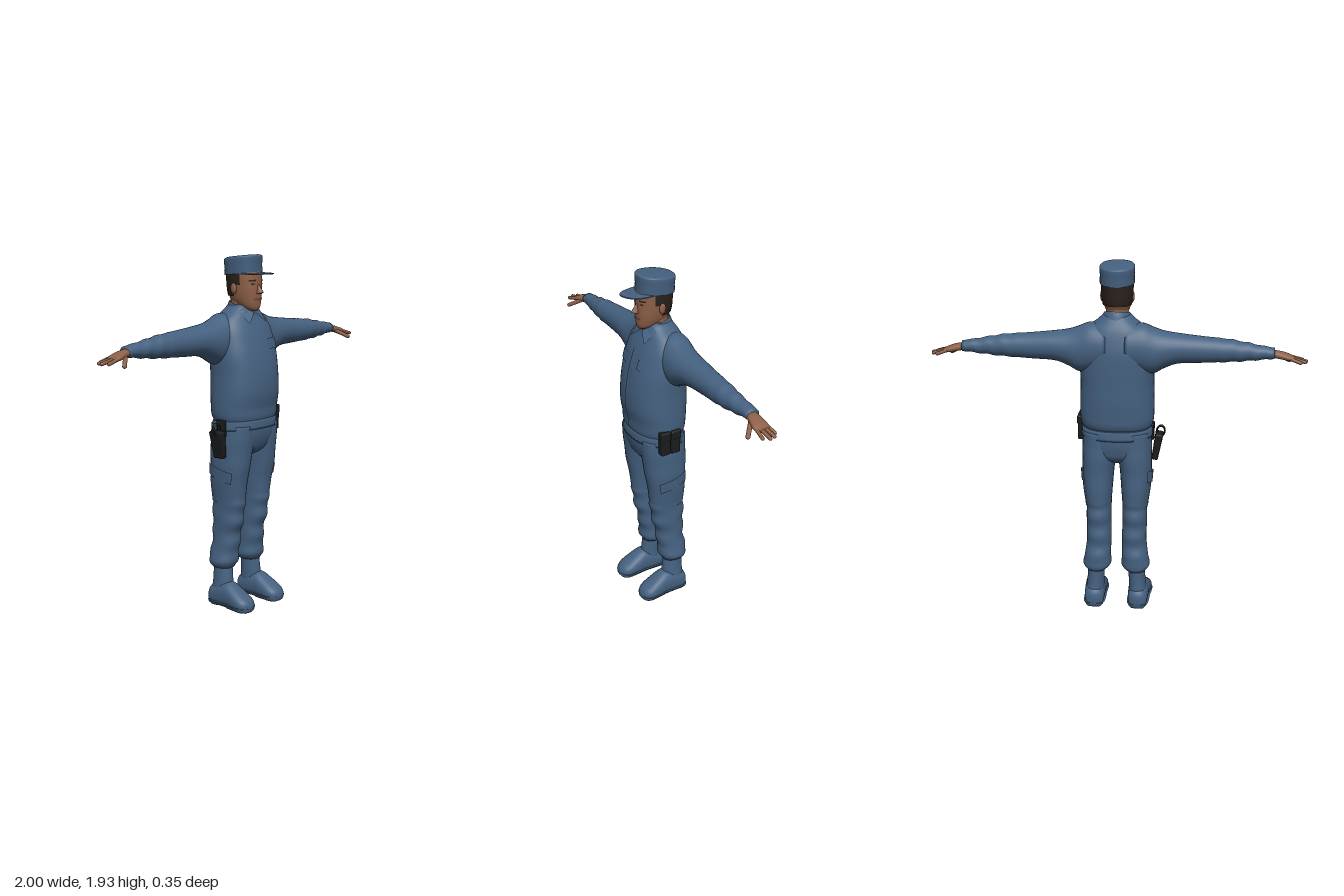
import * as THREE from 'three';
import { RoundedBoxGeometry } from 'three/addons/geometries/RoundedBoxGeometry.js';

const PI = Math.PI;

// Smooth interpolation of ring rows [key, c1, c2, r1, r2] at a given key
function ringAt(rows, k) {
  let i = 0;
  while (i < rows.length - 2 && k > rows[i + 1][0]) i++;
  const a = rows[i], b = rows[i + 1], p = rows[i - 1] || a, q = rows[i + 2] || b;
  const h = b[0] - a[0], t = (k - a[0]) / h, t2 = t * t, t3 = t2 * t;
  return a.map((v, j) => {
    const ma = (b[j] - p[j]) / (b[0] - p[0]) * h, mb = (q[j] - v) / (q[0] - a[0]) * h;
    return (2 * t3 - 3 * t2 + 1) * v + (t3 - 2 * t2 + t) * ma + (3 * t2 - 2 * t3) * b[j] + (t3 - t2) * mb;
  });
}

// Loft of superellipse rings along an axis; a partial angle or key range gives a surface patch
function loft(rows, o = {}) {
  const { axis = 'y', n = 32, m = 36, e = 2, t0 = 0, t1 = 2 * PI, grow = 0, warp } = o;
  const k0 = o.k0 ?? rows[0][0], k1 = o.k1 ?? rows[rows.length - 1][0];
  const closed = t1 - t0 > 6.28, caps = o.caps ?? closed, cols = closed ? n : n + 1;
  const pos = [], idx = [];
  const place = (k, u, v) => {
    const p = axis === 'y' ? [u, k, v] : axis === 'x' ? [k, u, v] : [u, v, k];
    if (warp) warp(p);
    pos.push(...p);
  };
  const s = axis === 'y' ? 1 : -1;
  const pw = v => Math.sign(v) * Math.abs(v) ** (2 / e);
  for (let i = 0; i <= m; i++) {
    const k = k0 + (k1 - k0) * i / m, [, c1, c2, r1, r2] = ringAt(rows, k);
    for (let j = 0; j < cols; j++) {
      const t = t0 + (t1 - t0) * j / n;
      place(k, c1 + (r1 + grow) * pw(Math.cos(t)), c2 + s * (r2 + grow) * pw(Math.sin(t)));
    }
  }
  for (let i = 0; i < m; i++) for (let j = 0; j < n; j++) {
    const a = i * cols + j, d = i * cols + (j + 1) % cols, b = a + cols, c = d + cols;
    idx.push(a, b, d, d, b, c);
  }
  if (caps) for (const end of [0, 1]) {
    const r = ringAt(rows, end ? k1 : k0), ci = pos.length / 3, base = end * m * cols;
    place(end ? k1 : k0, r[1], r[2]);
    for (let j = 0; j < n; j++) {
      const a = base + j, b = base + (j + 1) % cols;
      end ? idx.push(ci, b, a) : idx.push(ci, a, b);
    }
  }
  const g = new THREE.BufferGeometry();
  g.setAttribute('position', new THREE.Float32BufferAttribute(pos, 3));
  g.setIndex(idx);
  g.computeVertexNormals();
  return g;
}

// Mirror image across x = 0 with the winding kept outward
function mirrored(g) {
  const r = g.clone().scale(-1, 1, 1);
  const ix = r.index ? Array.from(r.index.array) : Array.from({ length: r.attributes.position.count }, (_, i) => i);
  for (let i = 0; i < ix.length; i += 3) [ix[i], ix[i + 1]] = [ix[i + 1], ix[i]];
  r.setIndex(ix);
  return r;
}

// Rounded finger between two points
function finger(a, b, r) {
  const A = new THREE.Vector3(...a), B = new THREE.Vector3(...b), d = B.clone().sub(A);
  const g = new THREE.CapsuleGeometry(r, d.length() - 2 * r, 4, 10);
  g.applyQuaternion(new THREE.Quaternion().setFromUnitVectors(new THREE.Vector3(0, 1, 0), d.clone().normalize()));
  const c = A.add(B).multiplyScalar(0.5);
  return g.translate(c.x, c.y, c.z);
}

const TORSO = [[1.045, 0, -.014, .183, .132], [1.075, 0, -.016, .195, .145], [1.12, 0, -.017, .2, .148],
  [1.2, 0, -.013, .2, .158], [1.3, 0, -.015, .197, .158], [1.4, 0, -.024, .2, .151], [1.48, 0, -.034, .195, .139],
  [1.55, 0, -.04, .182, .12], [1.6, 0, -.045, .152, .1], [1.64, 0, -.04, .1, .083], [1.67, 0, -.035, .068, .068]];
const PELVIS = [[.845, 0, -.03, .05, .04], [.88, 0, -.025, .14, .1], [.93, 0, -.02, .183, .126],
  [1, 0, -.015, .188, .138], [1.07, 0, -.014, .186, .134]];
const ARM = [[.05, 1.5, -.07, .12, .1], [.14, 1.495, -.066, .132, .1], [.2, 1.482, -.062, .122, .096],
  [.25, 1.487, -.06, .1, .09], [.32, 1.495, -.06, .081, .08], [.45, 1.492, -.06, .07, .066], [.6, 1.489, -.058, .059, .058],
  [.7, 1.485, -.06, .046, .046], [.78, 1.483, -.064, .034, .039], [.825, 1.482, -.065, .029, .036]];
const LEG = [[.222, .11, -.076, .055, .064], [.25, .108, -.078, .078, .078], [.3, .105, -.069, .073, .08],
  [.4, .098, -.06, .068, .08], [.5, .1, -.047, .068, .093], [.6, .1, -.04, .069, .1], [.7, .103, -.037, .079, .108],
  [.8, .103, -.027, .087, .117], [.88, .098, -.024, .092, .124], [.95, .096, -.018, .094, .127], [1.03, .095, -.015, .09, .13]];
const SHAFT = [[.05, .124, -.075, .054, .068], [.14, .118, -.07, .048, .062], [.26, .112, -.075, .044, .055]];
const FOOT = [[-.15, .122, .05, .02, .03], [-.135, .122, .053, .048, .053], [-.07, .123, .065, .057, .068],
  [-.01, .124, .07, .058, .074], [.05, .126, .055, .062, .06], [.1, .127, .04, .06, .045],
  [.13, .127, .033, .043, .032], [.143, .127, .03, .018, .014]];
const HEAD = [[1.638, 0, .045, .022, .026], [1.655, 0, .025, .045, .055], [1.69, 0, -.002, .064, .086],
  [1.73, 0, -.01, .074, .095], [1.78, 0, -.013, .079, .097], [1.84, 0, -.015, .08, .097], [1.88, 0, -.015, .07, .085]];
const NECK = [[1.58, 0, -.035, .062, .062], [1.65, 0, -.03, .06, .062], [1.72, 0, -.03, .06, .066]];
const CAP = [[1.832, 0, -.022, .088, .1], [1.87, 0, -.023, .09, .102], [1.91, 0, -.024, .092, .105],
  [1.92, 0, -.024, .089, .102], [1.925, 0, -.024, .075, .087]];
const HAND = [[.8, 1.48, -.062, .018, .026], [.85, 1.473, -.058, .02, .035], [.9, 1.461, -.054, .017, .042], [.93, 1.453, -.054, .01, .038]];

export function createModel() {
  const model = new THREE.Group();
  model.name = 'officer';
  const mat = (name, color, side = THREE.FrontSide) => Object.assign(new THREE.MeshStandardMaterial({ color, side }), { name });
  const cloth = mat('uniformBlue', 0x456180, THREE.DoubleSide);
  const skin = mat('skin', 0x8e6047), lip = mat('lips', 0x70433a);
  const hair = mat('hair', 0x2a211c, THREE.DoubleSide), black = mat('gearBlack', 0x1b1c1e);

  const add = (name, g, m, parent = model) => {
    const mesh = new THREE.Mesh(g, m);
    mesh.name = name;
    parent.add(mesh);
    return mesh;
  };
  const pair = (name, g, m) => {
    add(name + 'Left', g, m);
    add(name + 'Right', mirrored(g), m);
  };

  // Shirt with placket and pocket flaps
  add('shirt', loft(TORSO, { n: 48, e: 2.3 }), cloth);
  add('placket', loft(TORSO, { e: 2.3, k0: 1.08, k1: 1.6, t0: PI / 2 - .05, t1: PI / 2 + .05, n: 4, grow: .004 }), cloth);
  pair('chestPocketFlap', loft(TORSO, { e: 2.3, k0: 1.435, k1: 1.49, t0: .75, t1: 1.36, n: 12, m: 6, grow: .005 }), cloth);
  pair('sleeve', loft(ARM, { axis: 'x', m: 48,
    warp: p => { if (p[0] > .5) p[1] += .003 * Math.sin(p[0] * 75) * Math.sin((p[0] - .5) * 9); } }), cloth);

  // Collar sloping down to the front, with two points
  const COLLAR = [[1.61, 0, -.035, .086, .088], [1.65, 0, -.032, .078, .08], [1.675, 0, -.03, .068, .072]];
  add('collar', loft(COLLAR, { m: 8, caps: false, warp: p => { p[1] -= .22 * (p[2] + .03); } }), cloth);
  const point = new THREE.BufferGeometry();
  point.setAttribute('position', new THREE.Float32BufferAttribute(
    [.006, 1.628, .058, .068, 1.575, .084, .088, 1.635, .018, .055, 1.658, .026], 3));
  point.setIndex([0, 1, 2, 0, 2, 3]);
  point.computeVertexNormals();
  pair('collarPoint', point, cloth);

  // Trousers, belt and cargo pockets
  add('trouserSeat', loft(PELVIS, { n: 48, e: 2.3 }), cloth);
  add('belt', loft(PELVIS, { n: 48, m: 4, e: 2.3, k0: 1.005, k1: 1.055, grow: .006, warp: p => { p[1] += .06 * p[2]; } }), cloth);
  pair('trouserLeg', loft(LEG, { e: 2.2, m: 60,
    warp: p => { if (p[1] < .6 && p[1] > .24) p[2] += .005 * Math.sin(p[1] * 55); } }), cloth);
  pair('cargoPocket', loft(LEG, { e: 2.2, k0: .6, k1: .74, t0: -.75, t1: .6, n: 14, m: 10, grow: .004 }), cloth);
  pair('cargoFlap', loft(LEG, { e: 2.2, k0: .735, k1: .8, t0: -.78, t1: .65, n: 14, m: 6, grow: .009,
    warp: p => { p[1] -= .25 * (p[2] + .04); } }), cloth);

  // Boots with flat soles
  pair('bootShaft', loft(SHAFT, { m: 10 }), cloth);
  pair('bootFoot', loft(FOOT, { axis: 'z', e: 2.3, m: 40, warp: p => { p[1] = Math.max(p[1], .006); } }), cloth);
  pair('bootSole', loft(FOOT, { axis: 'z', e: 2.6, m: 40, grow: .005,
    warp: p => { p[1] = Math.min(Math.max(p[1], p[2] > -.07 && p[2] < -.01 ? .008 : 0), .028); } }), cloth);

  // Hands
  pair('palm', loft(HAND, { axis: 'x', n: 20, m: 14, e: 2.3 }), skin);
  [[-.086, .968, -.097], [-.066, .993, -.077], [-.044, 1, -.048], [-.024, .982, -.016]].forEach(([z, x, tz], i) =>
    pair('finger' + (i + 1), finger([.905, 1.459, z], [x, 1.438, tz], .0095), skin));
  pair('thumb', finger([.845, 1.468, -.04], [.915, 1.422, .026], .0115), skin);

  // Head, with features laid on the face
  add('neck', loft(NECK, { m: 8 }), skin);
  add('head', loft(HEAD, { e: 2.15 }), skin);
  const face = (o) => loft(HEAD, { e: 2.15, n: 10, m: 6, ...o });
  const nose = new THREE.ConeGeometry(.017, .06, 12).scale(1, 1, 1.5).rotateX(-.22).translate(0, 1.76, .085);
  add('nose', nose, skin);
  add('noseTip', new THREE.SphereGeometry(.013, 12, 8).scale(1.15, .8, 1.1).translate(0, 1.738, .097), skin);
  pair('ear', new THREE.SphereGeometry(.03, 14, 10).scale(.35, 1, .6).translate(.08, 1.757, -.02), skin);
  pair('eyebrow', face({ k0: 1.795, k1: 1.803, t0: .85, t1: 1.32, grow: .003 }), hair);
  pair('eye', face({ k0: 1.777, k1: 1.784, t0: .98, t1: 1.26, grow: .002 }), black);
  add('mouth', face({ k0: 1.694, k1: 1.706, t0: 1.15, t1: PI - 1.15, grow: .003 }), lip);
  add('hair', face({ k0: 1.715, k1: 1.85, t0: PI + .1, t1: 2 * PI - .1, n: 28, m: 14, grow: .006 }), hair);
  pair('sideburn', face({ k0: 1.775, k1: 1.85, t0: -.12, t1: .32, grow: .004 }), hair);

  // Cap with band and curved brim
  const tilt = p => { p[1] += .11 * (p[2] + .02); };
  add('cap', loft(CAP, { n: 40, m: 24, e: 2.2, warp: tilt }), cloth);
  add('capBand', loft(CAP, { n: 40, m: 4, e: 2.2, k0: 1.832, k1: 1.858, grow: .003, caps: false, warp: tilt }), cloth);
  const outline = new THREE.Shape();
  outline.moveTo(-.082, .02);
  outline.bezierCurveTo(-.08, .2267, .08, .2267, .082, .02);
  const brim = new THREE.ExtrudeGeometry(outline, { depth: .006, bevelEnabled: false, curveSegments: 24 }).rotateX(PI / 2);
  const bp = brim.attributes.position;
  for (let i = 0; i < bp.count; i++) {
    const x = bp.getX(i), z = bp.getZ(i);
    bp.setY(i, bp.getY(i) + 1.853 - 2.6 * x * x - .1 * (z - .05));
  }
  brim.computeVertexNormals();
  add('capBrim', brim, cloth);

  // Twin pouch on the left hip
  for (const z of [.03, -.031]) {
    add('pouch', new RoundedBoxGeometry(.04, .13, .056, 2, .008).translate(.192, 1.035, z), black);
    add('pouchFlap', new RoundedBoxGeometry(.046, .05, .059, 2, .008).translate(.193, 1.082, z), black);
  }

  // Tapered holster with an open loop on the right hip
  const holster = new THREE.Group();
  holster.name = 'holster';
  holster.position.set(-.217, .935, -.01);
  holster.rotation.z = .17;
  model.add(holster);
  const body = new RoundedBoxGeometry(.042, .15, .08, 2, .008);
  const hp = body.attributes.position;
  for (let i = 0; i < hp.count; i++) {
    const f = .82 + 1.6 * (hp.getY(i) + .075);
    hp.setX(i, hp.getX(i) * f);
    hp.setZ(i, hp.getZ(i) * f);
  }
  body.computeVertexNormals();
  add('holsterBody', body, black, holster);
  add('holsterLoop', new THREE.TorusGeometry(.022, .005, 8, 24).scale(1, 1.4, 2.2).translate(-.004, .085, 0), black, holster);
  add('holsterHanger', new RoundedBoxGeometry(.016, .09, .06, 2, .005).translate(-.193, 1.02, -.01), black);

  return model;
}
